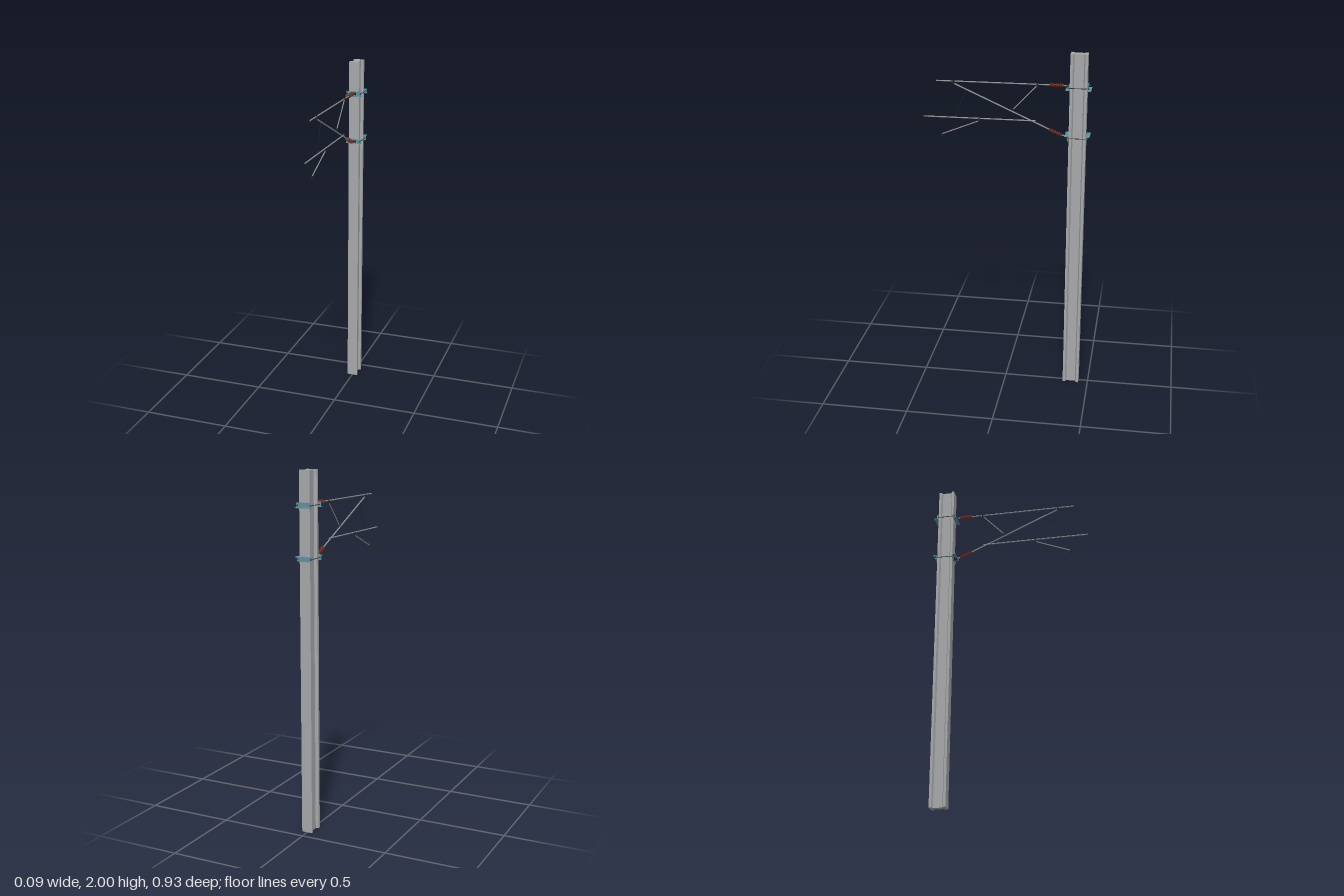
import * as THREE from 'three';

const material = (name, color, side = THREE.FrontSide) => {
  const m = new THREE.MeshStandardMaterial({ color, side });
  m.name = name;
  return m;
};

export function createModel() {
  const concrete = material('pole grey', 0xa6a8aa);
  const steel = material('tube grey', 0x8e9093);
  const teal = material('bracket teal', 0x5f929f);
  const brown = material('insulator brown', 0x6e3323);
  const dark = material('fitting black', 0x262626);
  const rodMat = material('tie rod brown', 0x40362e);

  const model = new THREE.Group();
  model.name = 'cantileverMast';

  const add = (parent, name, geometry, mat, x = 0, y = 0, z = 0) => {
    const mesh = new THREE.Mesh(geometry, mat);
    mesh.name = name;
    mesh.position.set(x, y, z);
    parent.add(mesh);
    return mesh;
  };

  // Turn a part built along +y so it runs from a to b
  const UP = new THREE.Vector3(0, 1, 0);
  const aim = (mesh, a, b) => {
    mesh.position.copy(a).add(b).multiplyScalar(0.5);
    mesh.quaternion.setFromUnitVectors(UP, b.clone().sub(a).normalize());
    return mesh;
  };
  const P = (z, y, x = 0) => new THREE.Vector3(x, y, z);
  const tube = (parent, name, a, b, r, mat, sides = 12) =>
    aim(add(parent, name, new THREE.CylinderGeometry(r, r, a.distanceTo(b), sides), mat), a, b);

  // H-section pole, drawn in plan and extruded upwards
  const half = [[0.031, 0.047], [0.031, 0.033], [0.016, 0.026], [0.016, -0.026], [0.031, -0.033], [0.031, -0.047]];
  const outline = [...half, ...half.map(([x, z]) => [-x, z]).reverse()];
  const section = new THREE.Shape(outline.map(([x, z]) => new THREE.Vector2(x, z)));
  const poleGeo = new THREE.ExtrudeGeometry(section, { depth: 2, bevelEnabled: false });
  poleGeo.rotateX(-Math.PI / 2);
  add(model, 'pole', poleGeo, concrete, 0, 0, -0.398);

  // Angle-iron clamps in front of and behind the pole, joined by tie rods
  const clamp = (name, y, flip) => {
    const g = new THREE.Group();
    g.name = name;
    g.position.set(0, y, -0.398);
    for (const s of [1, -1]) {
      add(g, 'angleWeb', new THREE.BoxGeometry(0.092, 0.028, 0.004), teal, 0, 0, s * 0.05);
      add(g, 'angleFlange', new THREE.BoxGeometry(0.092, 0.004, 0.018), teal, 0, flip * 0.012, s * 0.06);
      // Nuts on the tie rods
      for (const x of [-0.04, 0.04]) {
        const nut = add(g, 'nut', new THREE.CylinderGeometry(0.0045, 0.0045, 0.004, 6), rodMat, x, 0, s * 0.054);
        nut.rotation.x = Math.PI / 2;
      }
    }
    for (const x of [-0.04, 0.04]) {
      tube(g, 'tieRod', P(-0.062, 0, x), P(0.062, 0, x), 0.002, rodMat, 8);
    }
    // Hinge lug for the arm
    add(g, 'hingePlate', new THREE.BoxGeometry(0.028, 0.014, 0.005), dark, 0, 0, 0.0545);
    add(g, 'hingeLug', new THREE.BoxGeometry(0.008, 0.012, 0.014), dark, 0, 0, 0.062);
    model.add(g);
  };
  clamp('upperClamp', 1.817, -1);
  clamp('lowerClamp', 1.536, 1);

  // Ribbed insulator running from a to b
  const insulator = (name, a, b) => {
    const len = a.distanceTo(b), ribs = 7, step = len / ribs;
    const pts = [new THREE.Vector2(0, -len / 2)];
    for (let i = 0; i < ribs; i++) {
      const y = -len / 2 + i * step;
      pts.push(
        new THREE.Vector2(0.0055, y), new THREE.Vector2(0.0055, y + step * 0.25),
        new THREE.Vector2(0.0118, y + step * 0.4), new THREE.Vector2(0.0118, y + step * 0.65),
        new THREE.Vector2(0.0055, y + step * 0.85));
    }
    pts.push(new THREE.Vector2(0.0055, len / 2), new THREE.Vector2(0, len / 2));
    aim(add(model, name, new THREE.LatheGeometry(pts, 16), brown), a, b);
  };

  // Top tube with its insulator
  tube(model, 'topInsulatorRod', P(-0.337, 1.82), P(-0.312, 1.822), 0.004, steel);
  insulator('topInsulator', P(-0.315, 1.822), P(-0.24, 1.822));
  tube(model, 'topTube', P(-0.242, 1.822), P(0.388, 1.822), 0.0037, steel);

  // Sloping bracket tube with its insulator
  tube(model, 'lowerInsulatorRod', P(-0.335, 1.536), P(-0.308, 1.543), 0.004, steel);
  insulator('lowerInsulator', P(-0.31, 1.541), P(-0.238, 1.573));
  tube(model, 'bracketTube', P(-0.24, 1.572), P(0.292, 1.81), 0.004, steel);

  // Bracing strut, registration tube, hanger wire and steady arm
  tube(model, 'strut', P(-0.172, 1.816), P(-0.036, 1.672), 0.003, steel);
  tube(model, 'registrationTube', P(-0.165, 1.616), P(0.465, 1.616), 0.0037, steel);
  tube(model, 'hangerWire', P(0.221, 1.776), P(0.288, 1.616), 0.0015, dark, 6);
  tube(model, 'steadyArm', P(0.152, 1.602), P(0.364, 1.517), 0.0032, steel);

  // Black fittings at the joints
  const fitting = (name, z, y, h) => add(model, name, new THREE.BoxGeometry(0.009, h, 0.009), dark, 0, y, z);
  fitting('topEndFitting', 0.291, 1.817, 0.022);
  fitting('topStrutFitting', -0.173, 1.817, 0.022);
  fitting('lowerStrutFitting', -0.037, 1.676, 0.014);
  fitting('steadyArmFitting', 0.152, 1.608, 0.02);
  fitting('wireClip', 0.363, 1.513, 0.014);

  return model;
}
